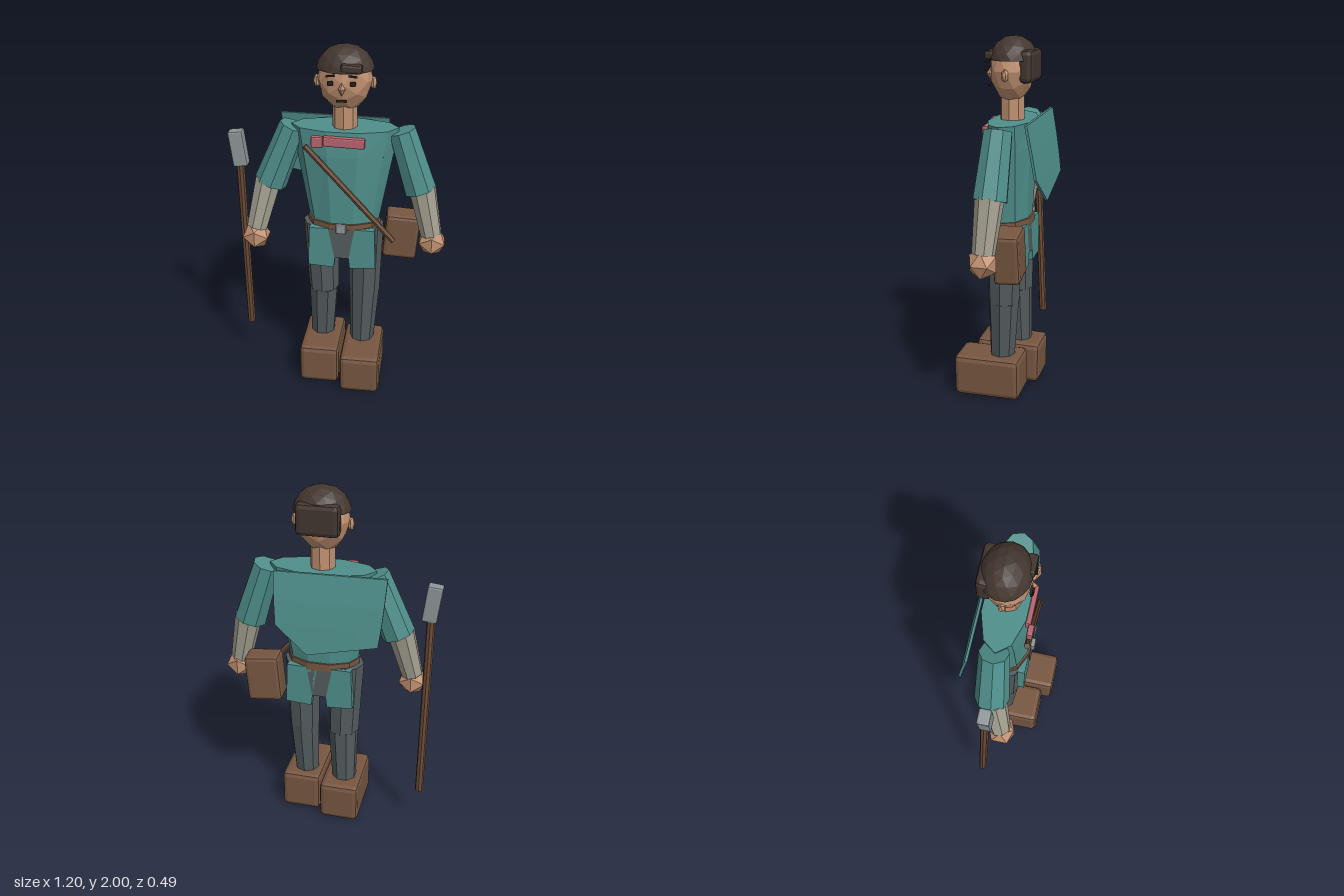
import * as THREE from 'three';
import { RoundedBoxGeometry } from 'three/addons/geometries/RoundedBoxGeometry.js';

const mat = (color) => new THREE.MeshStandardMaterial({ color, flatShading: true, side: THREE.DoubleSide });
const TEAL = mat(0x4f8f8b), BROWN = mat(0x765640), SKIN = mat(0xc09070), PANTS = mat(0x535b5d),
  HAIR = mat(0x43362f), LINEN = mat(0xa5a192), PINK = mat(0xb9646e), METAL = mat(0x8d9698),
  STRAP = mat(0x6b4b36), DARK = mat(0x241f1d);
const V = (x, y, z) => new THREE.Vector3(x, y, z);

export function createModel() {
  const model = new THREE.Group();
  model.name = 'figure';

  const add = (name, geometry, material, x = 0, y = 0, z = 0) => {
    const mesh = new THREE.Mesh(geometry, material);
    mesh.name = name;
    mesh.position.set(x, y, z);
    model.add(mesh);
    return mesh;
  };
  // Box with chamfered edges
  const box = (name, material, size, pos, bevel = 0.008) =>
    add(name, new RoundedBoxGeometry(...size, 1, bevel), material, ...pos);
  // Tapered prism running from point a to point b
  const limb = (name, material, a, b, ra, rb, sides = 8) => {
    const dir = b.clone().sub(a);
    const mesh = add(name, new THREE.CylinderGeometry(rb, ra, dir.length(), sides), material,
      ...a.clone().add(b).multiplyScalar(0.5).toArray());
    mesh.quaternion.setFromUnitVectors(V(0, 1, 0), dir.normalize());
    return mesh;
  };
  // Stack of elliptical rings [y, half width, half depth, z]
  const loft = (name, material, rings, cx, sides) => {
    const geo = new THREE.CylinderGeometry(1, 1, 1, sides, rings.length - 1, false, Math.PI / 2);
    const p = geo.attributes.position;
    for (let i = 0; i < p.count; i++) {
      const k = Math.round((0.5 - p.getY(i)) * (rings.length - 1));
      const [y, w, d, z] = rings[k];
      p.setXYZ(i, cx + p.getX(i) * w, y, z + p.getZ(i) * d);
    }
    return add(name, geo, material);
  };
  // Flat outline in x and y, given thickness along z
  const panel = (name, material, points, depth, z) => {
    const shape = new THREE.Shape(points.map(([x, y]) => new THREE.Vector2(x, y)));
    return add(name, new THREE.ExtrudeGeometry(shape, { depth, bevelEnabled: false }), material, 0, 0, z);
  };

  // Tunic and belt
  loft('tunic', TEAL, [[1.56, 0.29, 0.12, -0.04], [1.42, 0.265, 0.125, -0.035],
    [1.0, 0.19, 0.115, -0.025]], 0.03, 10);
  loft('belt', BROWN, [[1.03, 0.203, 0.127, -0.025], [0.985, 0.203, 0.127, -0.025]], 0.03, 10);
  box('buckle', METAL, [0.055, 0.055, 0.025], [0.027, 1.008, 0.104]);
  loft('hips', PANTS, [[1.0, 0.18, 0.1, -0.025], [0.87, 0.12, 0.08, -0.025]], 0.03, 10);

  // Tunic skirt: two flaps in front, two behind, with a cloth between
  for (const [side, z] of [['front', 0.052], ['back', -0.142]]) {
    for (const s of [-1, 1]) {
      panel(side + 'SkirtFlap', TEAL, [[0.18, 1.0], [0.19, 0.765], [0.045, 0.755], [0.035, 0.84], [0.01, 1.0]]
        .map(([x, y]) => [0.03 + s * x, y]), 0.04, z);
    }
    panel(side + 'Cloth', PANTS, [[-0.045, 1.0], [0.1, 1.0], [0.07, 0.82], [-0.01, 0.82]], 0.045, z);
  }

  // Legs and boots
  const legs = [
    { hip: V(-0.1, 1.0, -0.03), knee: V(-0.088, 0.56, -0.035), ankle: V(-0.098, 0.22, -0.05), boot: [-0.093, 0.125, -0.003] },
    { hip: V(0.152, 1.0, -0.025), knee: V(0.15, 0.56, -0.02), ankle: V(0.14, 0.22, -0.01), boot: [0.15, 0.12, 0.055] },
  ];
  legs.forEach(({ hip, knee, ankle, boot }, i) => {
    const side = ['right', 'left'][i];
    limb(side + 'Thigh', PANTS, hip, knee, 0.1, 0.088);
    limb(side + 'Shin', PANTS, knee, ankle, 0.086, 0.07);
    box(side + 'Boot', BROWN, [0.23, 0.235, 0.375], boot, 0.028).rotation.x = i ? 0.015 : -0.015;
  });

  // Arms and hands
  const arms = [
    { shoulder: V(-0.25, 1.545, -0.045), elbow: V(-0.385, 1.21, -0.035), top: V(-0.395, 1.23, -0.03), wrist: V(-0.462, 0.95, 0.02), hand: V(-0.465, 0.9, 0.03) },
    { shoulder: V(0.333, 1.545, -0.045), elbow: V(0.445, 1.21, -0.035), top: V(0.455, 1.23, -0.035), wrist: V(0.518, 0.95, -0.02), hand: V(0.525, 0.905, -0.018) },
  ];
  arms.forEach(({ shoulder, elbow, top, wrist, hand }, i) => {
    const side = ['right', 'left'][i];
    limb(side + 'Sleeve', TEAL, shoulder, elbow, 0.077, 0.092);
    limb(side + 'Forearm', LINEN, top, wrist, 0.076, 0.06);
    add(side + 'Hand', new THREE.IcosahedronGeometry(0.083, 0), SKIN, ...hand.toArray());
  });

  // Neck and head
  limb('neck', SKIN, V(0.03, 1.53, -0.035), V(0.03, 1.7, -0.035), 0.068, 0.065);
  const head = new THREE.IcosahedronGeometry(1, 1);
  const hp = head.attributes.position;
  for (let i = 0; i < hp.count; i++) {
    const y = hp.getY(i), taper = y < -0.2 ? 1 + 0.12 * (y + 0.2) : 1;
    hp.setXYZ(i, hp.getX(i) * 0.147 * taper, y * 0.175, hp.getZ(i) * 0.12 * taper);
  }
  add('head', head, SKIN, 0.03, 1.82, -0.035);

  // Hair cap, squared off above the face, with a back piece and a forelock
  const cap = new THREE.IcosahedronGeometry(1, 2);
  const cp = cap.attributes.position;
  for (let i = 0; i < cp.count; i++) {
    cp.setXYZ(i, cp.getX(i) * 0.153, Math.max(cp.getY(i) * 0.14, 0.015), cp.getZ(i) * 0.13);
  }
  add('hairCap', cap, HAIR, 0.03, 1.86, -0.043);
  box('hairBack', HAIR, [0.23, 0.17, 0.075], [0.03, 1.845, -0.132], 0.025);
  box('forelock', HAIR, [0.11, 0.045, 0.05], [0.075, 1.902, 0.067], 0.012).rotation.z = -0.06;

  // Face
  for (const s of [-1, 1]) {
    box('eye', DARK, [0.028, 0.024, 0.012], [0.027 + s * 0.058, 1.828, 0.09], 0.003);
    box('eyebrow', DARK, [0.045, 0.009, 0.012], [0.027 + s * 0.058, 1.866, 0.088], 0.002).rotation.z = -s * 0.1;
    add('ear', new THREE.IcosahedronGeometry(1, 0), SKIN, 0.03 + s * 0.148, 1.803, -0.035).scale.set(0.02, 0.038, 0.02);
  }
  add('nose', new THREE.OctahedronGeometry(1), SKIN, 0.027, 1.797, 0.085).scale.set(0.019, 0.036, 0.026);
  box('mouth', DARK, [0.055, 0.012, 0.012], [0.027, 1.736, 0.088], 0.003);

  // Shoulder cape: a slanted outline swept backward as it hangs
  const outline = [[[-0.34, 1.575], [0.26, 1.565]], [[-0.33, 1.42], [0.255, 1.42]],
    [[-0.32, 1.3], [0.245, 1.28]], [[-0.31, 1.215], [0.07, 1.13]]];
  const cape = new THREE.BoxGeometry(1, 1, 1, 4, 3, 1);
  const kp = cape.attributes.position;
  for (let i = 0; i < kp.count; i++) {
    const [a, b] = outline[Math.round((0.5 - kp.getY(i)) * 3)], t = kp.getX(i) + 0.5;
    const y = a[1] + (b[1] - a[1]) * t, drop = (1.57 - y) / 0.44;
    kp.setXYZ(i, a[0] + (b[0] - a[0]) * t, y,
      -0.166 - 0.09 * drop + 0.02 * drop * drop + kp.getZ(i) * 0.014);
  }
  add('cape', cape, TEAL);

  // Collar sash, chest strap and hip bag
  box('sash', PINK, [0.22, 0.055, 0.035], [0.04, 1.51, 0.083]).rotation.z = -0.03;
  box('sashKnot', PINK, [0.062, 0.062, 0.032], [-0.1, 1.515, 0.104]);
  limb('chestStrap', STRAP, V(-0.165, 1.487, 0.102), V(0.315, 0.945, 0.084), 0.016, 0.016, 6);
  box('hipBag', BROWN, [0.195, 0.265, 0.14], [0.348, 0.9, -0.108], 0.02).rotation.set(0.03, 0.06, -0.085);

  // Staff with a block head
  limb('staff', STRAP, V(-0.553, 0.23, -0.08), V(-0.553, 1.34, -0.03), 0.023, 0.023, 8);
  box('staffHead', METAL, [0.082, 0.205, 0.065], [-0.556, 1.405, -0.025], 0.01).rotation.z = 0.12;

  return model;
}
